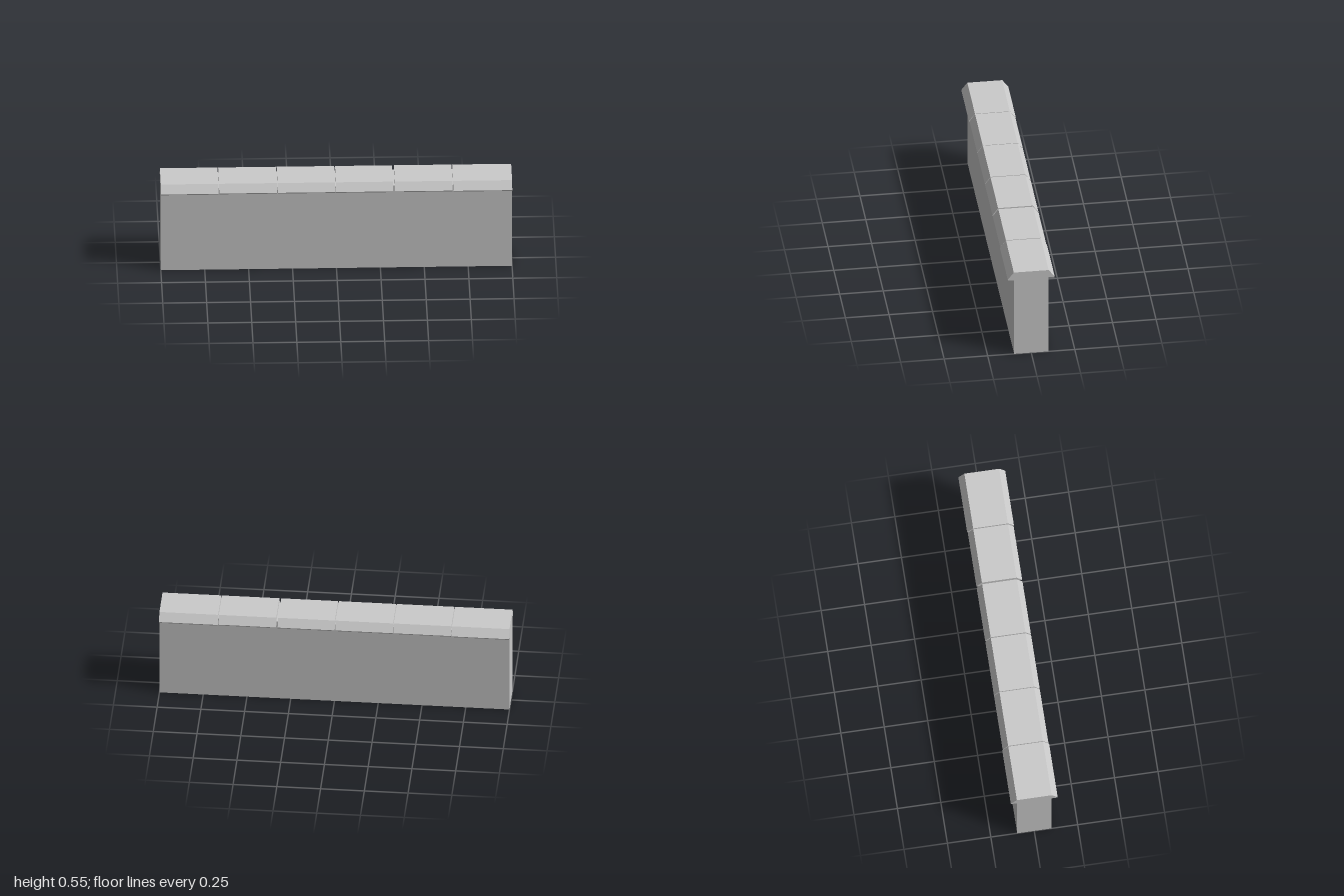
import * as THREE from 'three';

export function createModel() {
  const group = new THREE.Group();
  group.name = 'copedWall';
  const material = new THREE.MeshStandardMaterial({
    color: 0xcccccc, flatShading: true, side: THREE.DoubleSide,
  });

  const wallHalf = 0.098, wallTop = 0.525, capBottom = 0.5, capTop = 0.552;

  // Hollow wall body, open underneath
  const wallGeometry = new THREE.BoxGeometry(2, wallTop, wallHalf * 2);
  const index = Array.from(wallGeometry.index.array);
  index.splice(18, 6); // bottom face
  wallGeometry.setIndex(index);
  const wall = new THREE.Mesh(wallGeometry, material);
  wall.name = 'wallBody';
  wall.position.y = wallTop / 2;
  group.add(wall);

  // Coping stone: sloped sides, small lip, underside fitted over the wall
  function addCap(x0, x1, reach, number) {
    const half = [
      [wallHalf, wallTop], [wallHalf, capBottom], [reach - 0.002, capBottom],
      [reach, capBottom + 0.006], [0.1, capTop],
    ];
    const mirrored = half.map(([z, y]) => [-z, y]).reverse();
    const profile = [...half, ...mirrored].map(([z, y]) => new THREE.Vector2(z, y));
    const geometry = new THREE.ExtrudeGeometry(new THREE.Shape(profile), {
      depth: x1 - x0, bevelEnabled: false,
    });
    geometry.rotateY(Math.PI / 2);
    const cap = new THREE.Mesh(geometry, material);
    cap.name = `copingStone${number}`;
    cap.position.x = x0;
    group.add(cap);
  }

  // Six stones separated by narrow joints, one joint a little wider
  const joints = [[-0.67, 0.004], [-0.337, 0.004], [-0.005, 0.005], [0.327, 0.011], [0.662, 0.005]];
  let start = -1;
  for (let i = 0; i <= joints.length; i++) {
    const [x, width] = joints[i] ?? [1, 0];
    const isEnd = i === 0 || i === joints.length;
    addCap(start, x - width / 2, isEnd ? 0.135 : 0.132, i + 1);
    start = x + width / 2;
  }
  return group;
}
